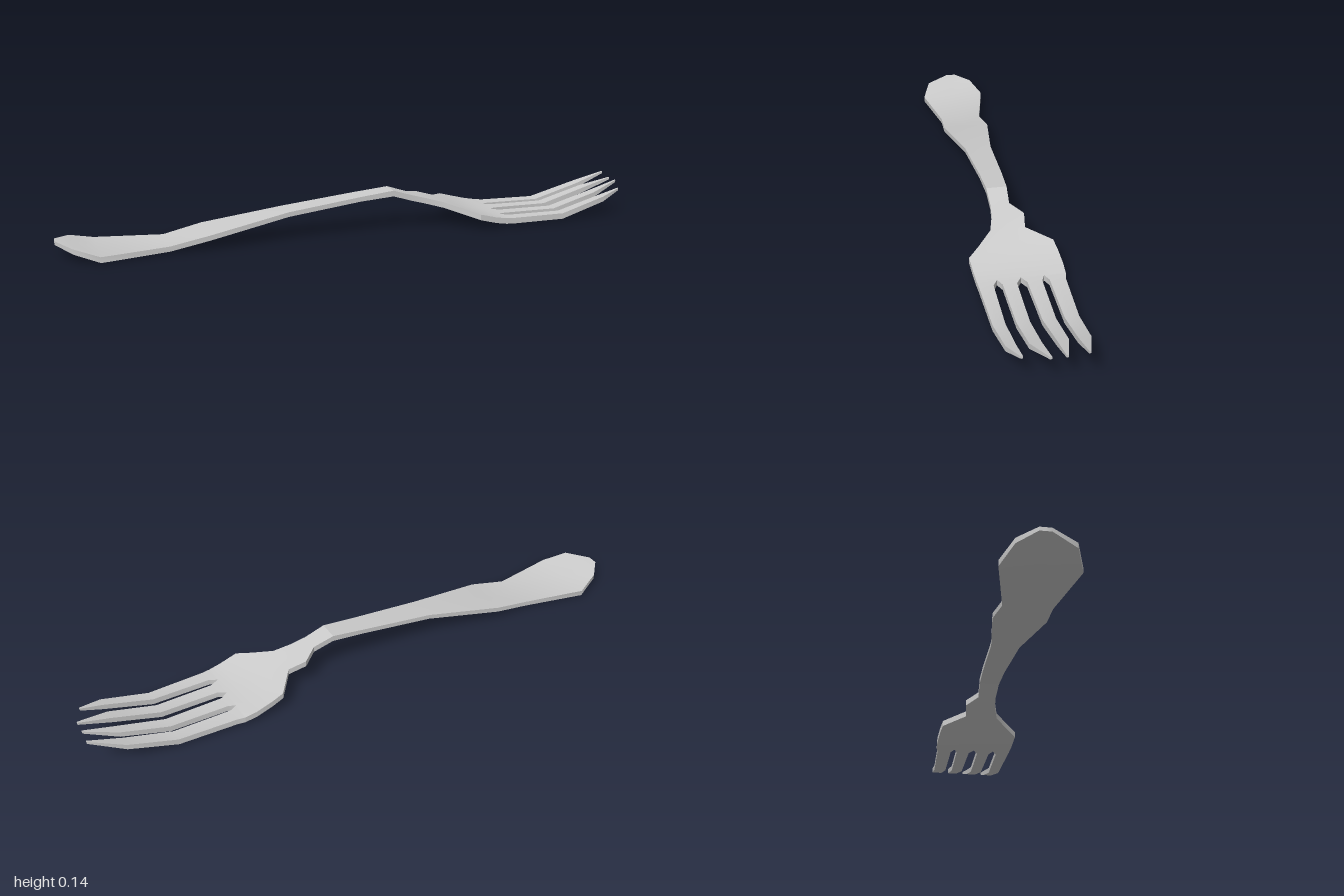
import * as THREE from 'three';
import { toCreasedNormals } from 'three/addons/utils/BufferGeometryUtils.js';

const material = new THREE.MeshStandardMaterial({ color: 0xcccccc });

// Lofts a thin strip along x. Row: [x, top y, back z, front z, thickness, dip of the middle]
function strip(name, rows) {
  const rings = rows.map(([x, y, z0, z1, t = 0.02, dip = 0]) => {
    const zm = (z0 + z1) / 2;
    return [
      [x, y, z0], [x, y - dip, zm], [x, y, z1],
      [x, y - t, z1], [x, y - t - dip, zm], [x, y - t, z0],
    ];
  });
  const pos = [];
  const quad = (a, b, c, d) => pos.push(...a, ...b, ...c, ...a, ...c, ...d);
  for (let i = 0; i < rings.length - 1; i++) {
    const r = rings[i], s = rings[i + 1];
    for (let k = 0; k < 6; k++) {
      const n = (k + 1) % 6;
      quad(r[k], r[n], s[n], s[k]);
    }
  }
  // end caps
  const a = rings[0], b = rings[rings.length - 1];
  quad(a[5], a[4], a[1], a[0]);
  quad(a[4], a[3], a[2], a[1]);
  quad(b[0], b[1], b[4], b[5]);
  quad(b[1], b[2], b[3], b[4]);
  const geometry = new THREE.BufferGeometry();
  geometry.setAttribute('position', new THREE.Float32BufferAttribute(pos, 3));
  const mesh = new THREE.Mesh(toCreasedNormals(geometry, 0.6), material);
  mesh.name = name;
  return mesh;
}

export function createModel() {
  const fork = new THREE.Group();
  fork.name = 'fork';

  // Handle: flared, upturned end rising to the crest
  fork.add(strip('handle', [
    [-1, 0.053, -0.03, 0.005, 0.012],
    [-0.95, 0.045, -0.085, 0.085, 0.017],
    [-0.87, 0.021, -0.118, 0.115, 0.019, 0.002],
    [-0.65, 0.023, -0.073, 0.075, 0.017, 0.002],
    [-0.52, 0.05, -0.082, 0.083, 0.017],
    [-0.25, 0.095, -0.046, 0.046, 0.016],
    [0, 0.124, -0.038, 0.037, 0.016],
    [0.12, 0.137, -0.032, 0.036, 0.02],
  ]));

  // Neck and palm, slightly dished
  fork.add(strip('palm', [
    [0.12, 0.137, -0.032, 0.036, 0.02],
    [0.19, 0.115, -0.027, 0.035, 0.02],
    [0.24, 0.102, -0.066, 0.04, 0.02],
    [0.3, 0.086, -0.057, 0.055, 0.02, 0.002],
    [0.36, 0.068, -0.135, 0.104, 0.02, 0.005],
    [0.4, 0.056, -0.141, 0.14, 0.02, 0.006],
    [0.46, 0.04, -0.145, 0.136, 0.02, 0.005],
    [0.5, 0.033, -0.143, 0.133, 0.02],
  ]));

  // Tines: [root z range], [shaft z range], [shoulder z range], tip x, y, z
  const tines = [
    [[-0.143, -0.075], [-0.137, -0.087], [-0.122, -0.085], [0.99, 0.115, -0.088]],
    [[-0.075, -0.003], [-0.064, -0.018], [-0.058, -0.024], [0.985, 0.106, -0.028]],
    [[-0.003, 0.071], [0.014, 0.058], [0.018, 0.053], [0.985, 0.106, 0.017]],
    [[0.071, 0.133], [0.086, 0.131], [0.089, 0.119], [0.955, 0.095, 0.089]],
  ];
  tines.forEach(([root, shaft, shoulder, [x, y, z]], i) => {
    const mid = shaft.map((v, k) => (v + shoulder[k]) / 2);
    fork.add(strip(`tine${i + 1}`, [
      [0.5, 0.033, ...root],
      [0.525, 0.031, ...shaft],
      [0.72, 0.03, ...mid],
      [0.88, 0.076, ...shoulder, 0.018],
      [x, y, z - 0.003, z + 0.003, 0.008],
    ]));
  });

  return fork;
}
